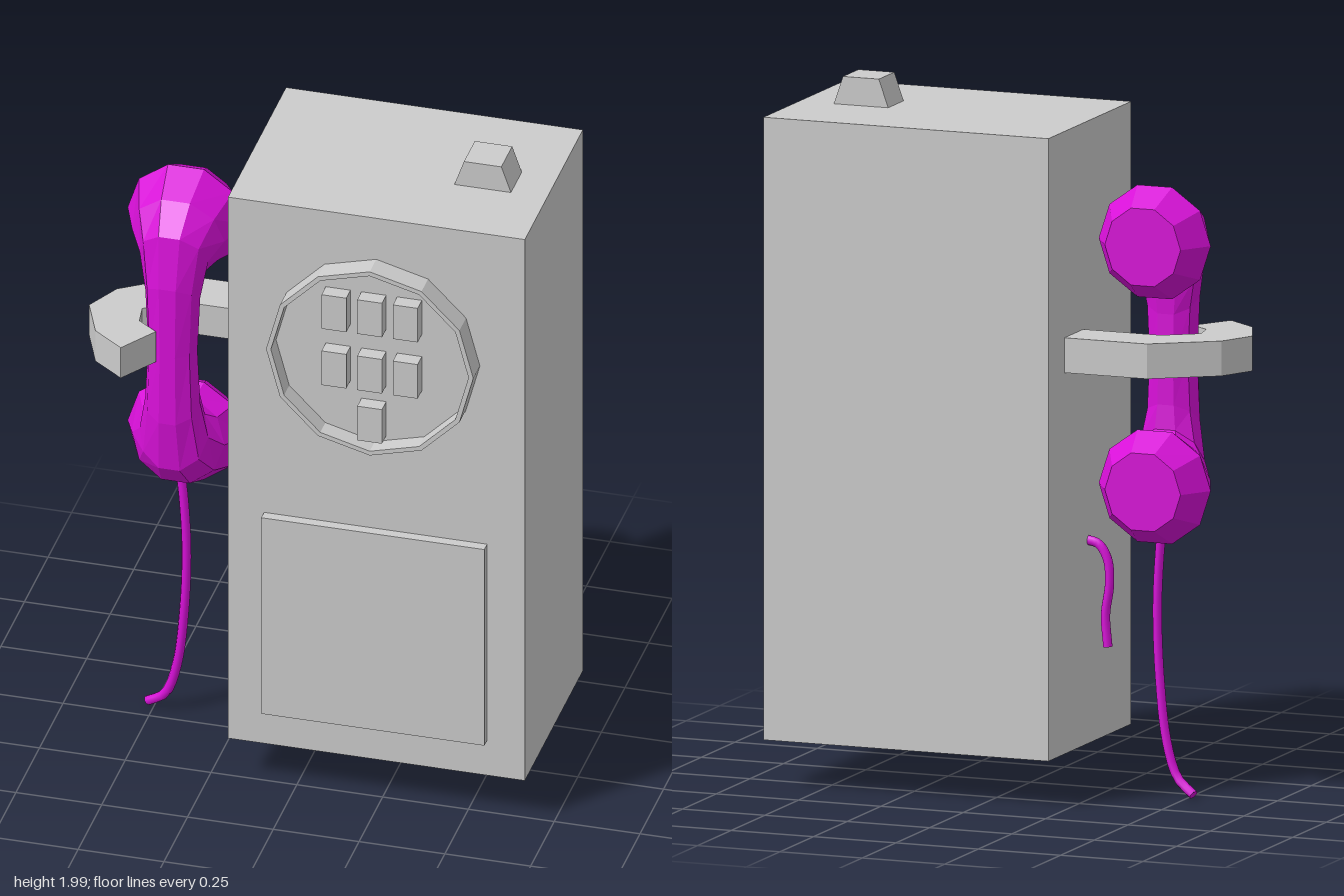
import * as THREE from 'three';

const grey = new THREE.MeshStandardMaterial({ color: 0xcccccc, flatShading: true });
const greySmooth = new THREE.MeshStandardMaterial({ color: 0xcccccc });
const pink = new THREE.MeshStandardMaterial({ color: 0xd810d8, flatShading: true });
const pinkSmooth = new THREE.MeshStandardMaterial({ color: 0xd810d8 });

function add(parent, name, geometry, material) {
  const mesh = new THREE.Mesh(geometry, material);
  mesh.name = name;
  parent.add(mesh);
  return mesh;
}

// Box given by its limits on each axis
function box(parent, name, x0, x1, y0, y1, z0, z1) {
  const mesh = add(parent, name, new THREE.BoxGeometry(x1 - x0, y1 - y0, z1 - z0), grey);
  mesh.position.set((x0 + x1) / 2, (y0 + y1) / 2, (z0 + z1) / 2);
  return mesh;
}

function polygon(radius, sides) {
  return Array.from({ length: sides }, (_, i) => {
    const a = (i / sides) * Math.PI * 2;
    return new THREE.Vector2(Math.cos(a) * radius, Math.sin(a) * radius);
  });
}

// Loft of ten-sided rings: [outer y, outer z, inner y, inner z, half width]
function handsetGeometry() {
  const half = [
    [1.71, -0.2, 1.49, -0.2, 0.115],
    [1.76, -0.11, 1.44, -0.11, 0.17],
    [1.71, -0.0, 1.46, -0.055, 0.135],
    [1.63, 0.07, 1.45, -0.035, 0.1],
    [1.47, 0.09, 1.38, -0.03, 0.08],
  ];
  const mirrored = half.map(([a, b, c, d, w]) => [2.5 - a, b, 2.5 - c, d, w]).reverse();
  const sections = [...half, [1.25, 0.09, 1.25, -0.03, 0.072], ...mirrored];
  const n = 10, pos = [], idx = [];
  for (const [oy, oz, iy, iz, w] of sections) {
    for (let j = 0; j < n; j++) {
      const t = (j / n) * Math.PI * 2;
      const s = Math.sin(t) / Math.sin(Math.PI * 0.4) / 2;
      pos.push(Math.cos(t) * w, (oy + iy) / 2 + s * (oy - iy), (oz + iz) / 2 + s * (oz - iz));
    }
  }
  const last = (sections.length - 1) * n;
  for (let i = 0; i < last; i += n) {
    for (let j = 0; j < n; j++) {
      const k = (j + 1) % n;
      idx.push(i + j, i + k, i + n + k, i + j, i + n + k, i + n + j);
    }
  }
  // Flat ear and mouth faces
  for (let j = 1; j < n - 1; j++) {
    idx.push(0, j + 1, j, last, last + j, last + j + 1);
  }
  const g = new THREE.BufferGeometry();
  g.setAttribute('position', new THREE.Float32BufferAttribute(pos, 3));
  g.setIndex(idx);
  g.computeVertexNormals();
  return g;
}

// Cord with closed ends
function cord(parent, name, points) {
  const group = new THREE.Group();
  group.name = name;
  parent.add(group);
  const curve = new THREE.CatmullRomCurve3(points.map((p) => new THREE.Vector3(...p)));
  add(group, 'cordTube', new THREE.TubeGeometry(curve, 28, 0.014, 8), pinkSmooth);
  for (const t of [0, 1]) {
    const cap = add(group, 'cordEnd', new THREE.CircleGeometry(0.014, 8), pinkSmooth);
    cap.position.copy(curve.getPoint(t));
    cap.lookAt(cap.position.clone().addScaledVector(curve.getTangent(t), t ? 1 : -1));
  }
}

export function createModel() {
  const model = new THREE.Group();
  model.name = 'wallTelephone';

  // Cabinet and front panel
  box(model, 'cabinet', -0.195, 0.67, 0.14, 1.92, -0.345, 0.27);
  box(model, 'frontPanel', -0.09, 0.56, 0.255, 0.9, 0.265, 0.3);

  // Tapered button on top, softly shaded
  const button = new THREE.BoxGeometry(0.165, 0.08, 0.115);
  const p = button.attributes.position;
  for (let i = 0; i < p.count; i++) {
    if (p.getY(i) > 0) p.setX(i, p.getX(i) * 0.66);
  }
  button.computeVertexNormals();
  add(model, 'topButton', button, greySmooth).position.set(0.4825, 1.96, -0.022);

  // Keypad: twelve-sided rim, floor and seven keys
  const keypad = new THREE.Group();
  keypad.name = 'keypad';
  model.add(keypad);
  const rim = new THREE.Shape(polygon(0.302, 12));
  rim.holes.push(new THREE.Path(polygon(0.288, 12).reverse()));
  add(keypad, 'keypadRim', new THREE.ExtrudeGeometry(rim, { depth: 0.075, bevelEnabled: false }), grey)
    .position.set(0.237, 1.483, 0.265);
  add(keypad, 'keypadFloor', new THREE.ShapeGeometry(new THREE.Shape(polygon(0.29, 12))), grey)
    .position.set(0.237, 1.483, 0.285);
  const rows = [[1.625, [-1, 0, 1]], [1.44, [-1, 0, 1]], [1.275, [0]]];
  for (const [y, columns] of rows) {
    for (const c of columns) {
      const x = 0.234 + c * 0.104;
      box(keypad, 'key', x - 0.036, x + 0.036, y - 0.056, y + 0.056, 0.275, 0.33);
    }
  }

  // Hooked cradle arm, drawn in plan as (x, -z) and extruded upward
  const plan = [
    [-0.19, -0.225], [-0.445, -0.225], [-0.622, -0.104], [-0.674, 0], [-0.62, 0.13],
    [-0.527, 0.2], [-0.455, 0.09], [-0.515, 0.045], [-0.525, -0.02], [-0.43, -0.085], [-0.19, -0.085],
  ];
  const hook = new THREE.ExtrudeGeometry(
    new THREE.Shape(plan.map(([x, z]) => new THREE.Vector2(x, -z))),
    { depth: 0.1, bevelEnabled: false },
  );
  hook.rotateX(-Math.PI / 2);
  add(model, 'cradleHook', hook, grey).position.y = 1.23;

  // Handset and its broken cord
  add(model, 'handset', handsetGeometry(), pink).position.x = -0.422;
  cord(model, 'handsetCord', [
    [-0.425, 0.82, -0.05], [-0.412, 0.72, -0.045], [-0.402, 0.55, -0.042], [-0.408, 0.35, -0.04],
    [-0.43, 0.16, -0.04], [-0.465, 0.06, -0.045], [-0.52, 0.018, -0.062],
  ]);
  cord(model, 'cabinetCord', [
    [-0.185, 0.722, -0.045], [-0.225, 0.712, -0.045], [-0.252, 0.67, -0.045],
    [-0.258, 0.6, -0.045], [-0.246, 0.51, -0.045], [-0.253, 0.42, -0.045],
  ]);

  return model;
}
